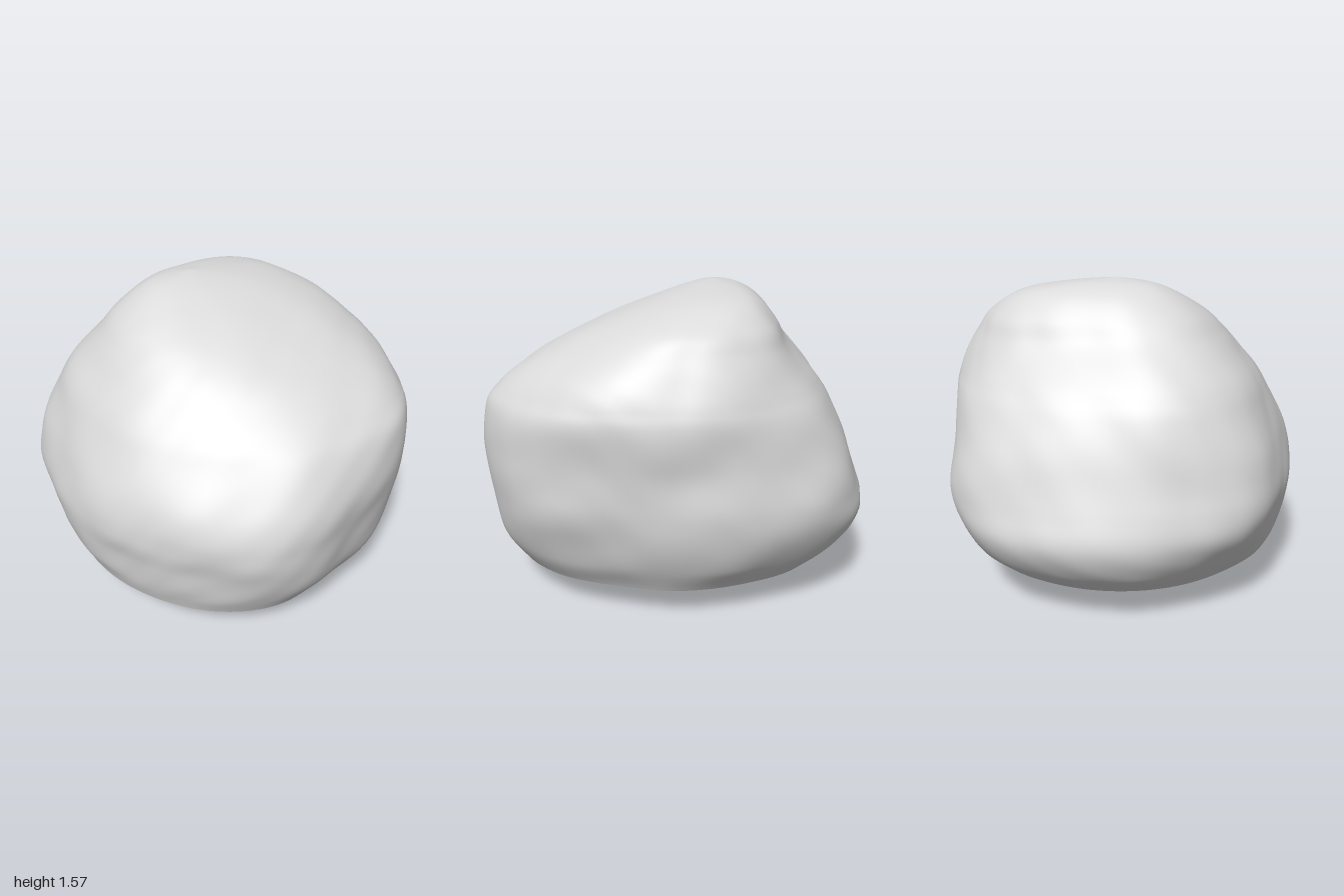
import * as THREE from 'three';

const SEGMENTS = 128;

// Plan outlines at three heights: radius factor every 22.5 degrees, from +x towards +z
const OUTLINES = [
  { y: 0.166, k: [1, 1.03, 1.02, 1, 1, 1, 0.97, 0.98, 1, 1.03, 1.07, 1.02, 1, 0.98, 1.03, 1.05] },
  { y: 0.65, k: [1, 1.05, 1.02, 1, 1, 0.99, 1.06, 0.99, 0.98, 1.04, 1.12, 1.05, 1, 1.01, 1.06, 1.04] },
  { y: 1.2, k: [0.97, 0.9, 0.86, 0.9, 0.97, 1.05, 1.13, 1.1, 1, 1.02, 1.06, 1.03, 1, 1.03, 1.05, 1.06] },
];

// Cross-sections: [y, xMin, xMax, zMin, zMax]
const BODY = [
  [0.166, -0.79, 0.84, -0.74, 0.8],
  [0.3, -0.93, 0.92, -0.82, 0.85],
  [0.45, -1.0, 0.96, -0.87, 0.88],
  [0.6, -0.97, 0.98, -0.89, 0.9],
  [0.8, -0.9, 0.99, -0.88, 0.86],
  [1.0, -0.8, 0.96, -0.89, 0.76],
  [1.1, -0.73, 0.89, -0.87, 0.7],
  [1.2, -0.645, 0.77, -0.83, 0.62],
  [1.3, -0.565, 0.6, -0.77, 0.54],
  [1.4, -0.5, 0.38, -0.69, 0.44],
  [1.5, -0.41, 0.1, -0.52, 0.28],
  [1.55, -0.32, -0.08, -0.27, 0.15],
  [1.572, -0.2, -0.2, -0.02, -0.02],
];
const UNDERSIDE = [
  [0, 0.05, 0.05, 0.1, 0.1],
  [0.012, -0.22, 0.33, -0.17, 0.3],
  [0.05, -0.4, 0.5, -0.42, 0.46],
  [0.1, -0.56, 0.66, -0.57, 0.62],
  [0.166, -0.79, 0.84, -0.74, 0.8],
];

// Smooth periodic lookup in one plan outline
function lookup(table, angle) {
  const n = table.length;
  const f = (angle / (2 * Math.PI)) * n;
  const i = Math.floor(f), t = f - i;
  const [a, b, c, d] = [-1, 0, 1, 2].map((k) => table[(i + k + n) % n]);
  return b + 0.5 * t * (c - a + t * (2 * a - 5 * b + 4 * c - d + t * (3 * (b - c) + d - a)));
}

// Blend the rim, middle and upper outlines by height
function outlineAt(angle, y) {
  const [rim, middle, upper] = OUTLINES;
  const low = THREE.MathUtils.smoothstep(y, rim.y, middle.y);
  const high = THREE.MathUtils.smoothstep(y, middle.y, upper.y);
  const k = THREE.MathUtils.lerp(lookup(rim.k, angle), lookup(middle.k, angle), low);
  return THREE.MathUtils.lerp(k, lookup(upper.k, angle), high);
}

// Gentle weathering: broad lumps with finer ripples
function weathering(x, y, z) {
  return 0.007 * Math.sin(5 * x + 3 * y + 1) * Math.sin(6 * y - 4 * z + 2)
    + 0.005 * Math.sin(11 * x - 7 * z + 4 * y) * Math.sin(10 * y + 5 * z)
    + 0.002 * Math.sin(21 * z + 13 * y + 2 * Math.sin(9 * x)) * Math.sin(19 * x - 15 * y);
}

// Skin a stack of cross-sections, listed from bottom to top
function loft(sections, steps) {
  const xCurve = new THREE.CatmullRomCurve3(sections.map((s) => new THREE.Vector3(s[1], s[0], s[2])), false, 'catmullrom');
  const zCurve = new THREE.CatmullRomCurve3(sections.map((s) => new THREE.Vector3(s[3], s[0], s[4])), false, 'catmullrom');
  const positions = [], indices = [];
  for (let r = 0; r <= steps; r++) {
    const xs = xCurve.getPoint(r / steps), zs = zCurve.getPoint(r / steps);
    const y = xs.y;
    const rx = (xs.z - xs.x) / 2, rz = (zs.z - zs.x) / 2;
    const fade = Math.min(1, Math.abs(y - 0.166) * 8) * Math.min(1, rx * 2);
    for (let s = 0; s < SEGMENTS; s++) {
      const a = (s / SEGMENTS) * 2 * Math.PI;
      const c = Math.cos(a), n = Math.sin(a), k = outlineAt(a, y);
      const x = (xs.x + xs.z) / 2 + rx * k * c;
      const z = (zs.x + zs.z) / 2 + rz * k * n;
      const d = weathering(x, y, z) * fade;
      positions.push(x + d * c, y, z + d * n);
      if (r < steps) {
        const s2 = (s + 1) % SEGMENTS;
        const p = r * SEGMENTS + s, q = r * SEGMENTS + s2;
        indices.push(p, p + SEGMENTS, q, q, p + SEGMENTS, q + SEGMENTS);
      }
    }
  }
  const geometry = new THREE.BufferGeometry();
  geometry.setAttribute('position', new THREE.Float32BufferAttribute(positions, 3));
  geometry.setIndex(indices);
  geometry.computeVertexNormals();
  return geometry;
}

export function createModel() {
  const stone = new THREE.MeshStandardMaterial({ color: 0xdadada });
  stone.name = 'grey stone';

  const boulder = new THREE.Group();
  boulder.name = 'boulder';

  // Rounded upper rock and shallow underside meet at a crisp rim
  const body = new THREE.Mesh(loft(BODY, 96), stone);
  body.name = 'boulderBody';
  const underside = new THREE.Mesh(loft(UNDERSIDE, 24), stone);
  underside.name = 'boulderUnderside';
  boulder.add(body, underside);
  return boulder;
}
